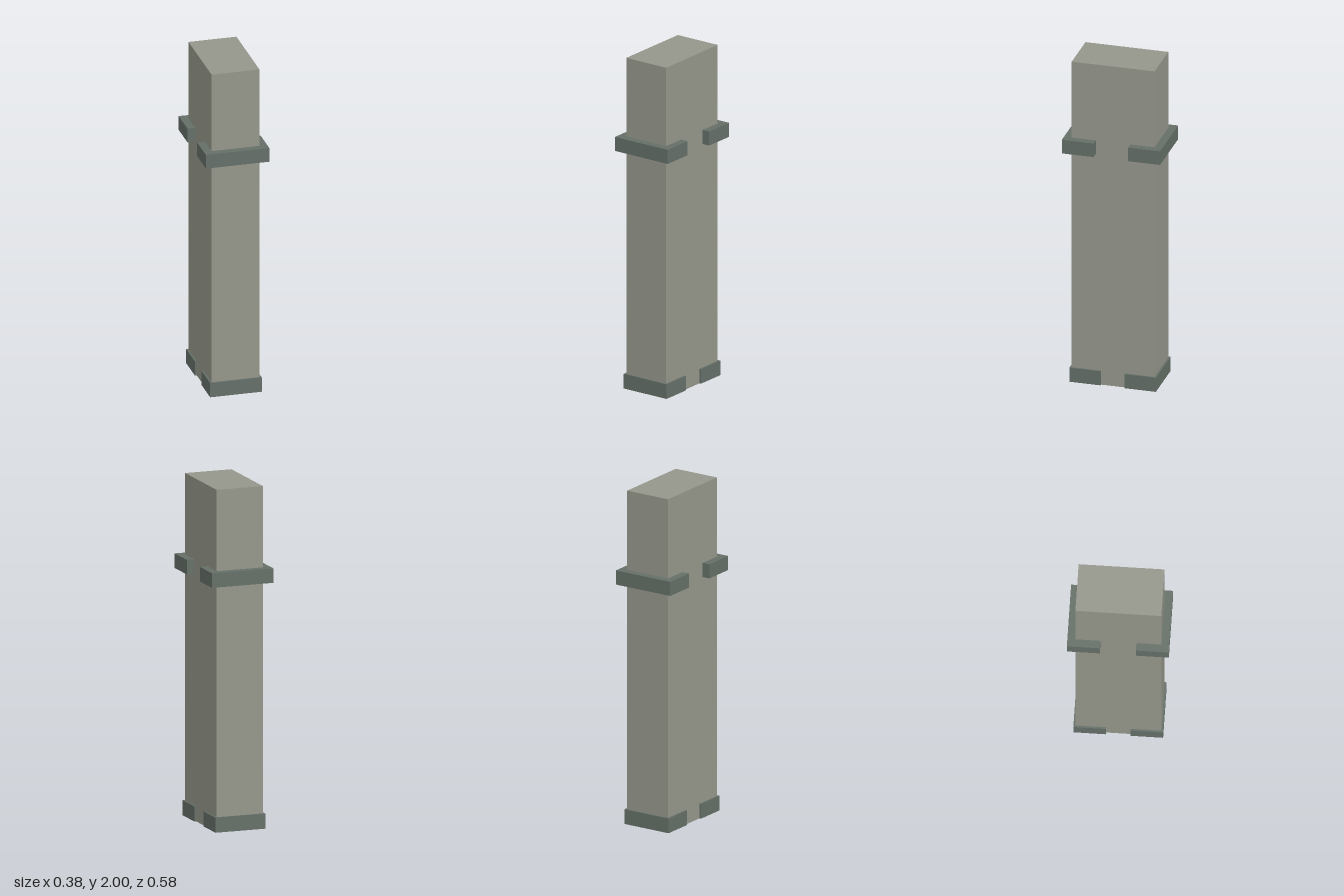
import * as THREE from 'three';

const stone = new THREE.MeshStandardMaterial({ color: 0x95978b });
stone.name = 'warm grey stone';
const trim = new THREE.MeshStandardMaterial({ color: 0x656f68 });
trim.name = 'dark green grey trim';

const HALF_X = 0.142, HALF_Z = 0.246, HEIGHT = 2;

// U-shaped bracket that wraps one end of the pillar
function bracket(name, outerX, outerZ, tipZ, y, height) {
  const shape = new THREE.Shape([
    [-outerX, -outerZ], [outerX, -outerZ], [outerX, -tipZ], [HALF_X, -tipZ],
    [HALF_X, -HALF_Z], [-HALF_X, -HALF_Z], [-HALF_X, -tipZ], [-outerX, -tipZ],
  ].map(([x, z]) => new THREE.Vector2(x, z)));
  const geometry = new THREE.ExtrudeGeometry(shape, { depth: height, bevelEnabled: false });
  geometry.rotateX(-Math.PI / 2); // plan to ground plane, extrusion upward
  const mesh = new THREE.Mesh(geometry, trim);
  mesh.name = name;
  mesh.position.y = y;
  return mesh;
}

export function createModel() {
  const model = new THREE.Group();
  model.name = 'pillar';

  // Rectangular shaft
  const shaft = new THREE.Mesh(new THREE.BoxGeometry(HALF_X * 2, HEIGHT, HALF_Z * 2), stone);
  shaft.name = 'shaft';
  shaft.position.y = HEIGHT / 2;
  model.add(shaft);

  // Matching brackets at front and back
  for (const [side, turn] of [['front', 0], ['back', Math.PI]]) {
    const pair = new THREE.Group();
    pair.name = side + 'Trim';
    pair.rotation.y = turn;
    pair.add(
      bracket(side + 'Base', 0.153, 0.257, 0.071, 0, 0.088),
      bracket(side + 'Band', 0.188, 0.292, 0.103, 1.44, 0.085),
    );
    model.add(pair);
  }
  return model;
}
